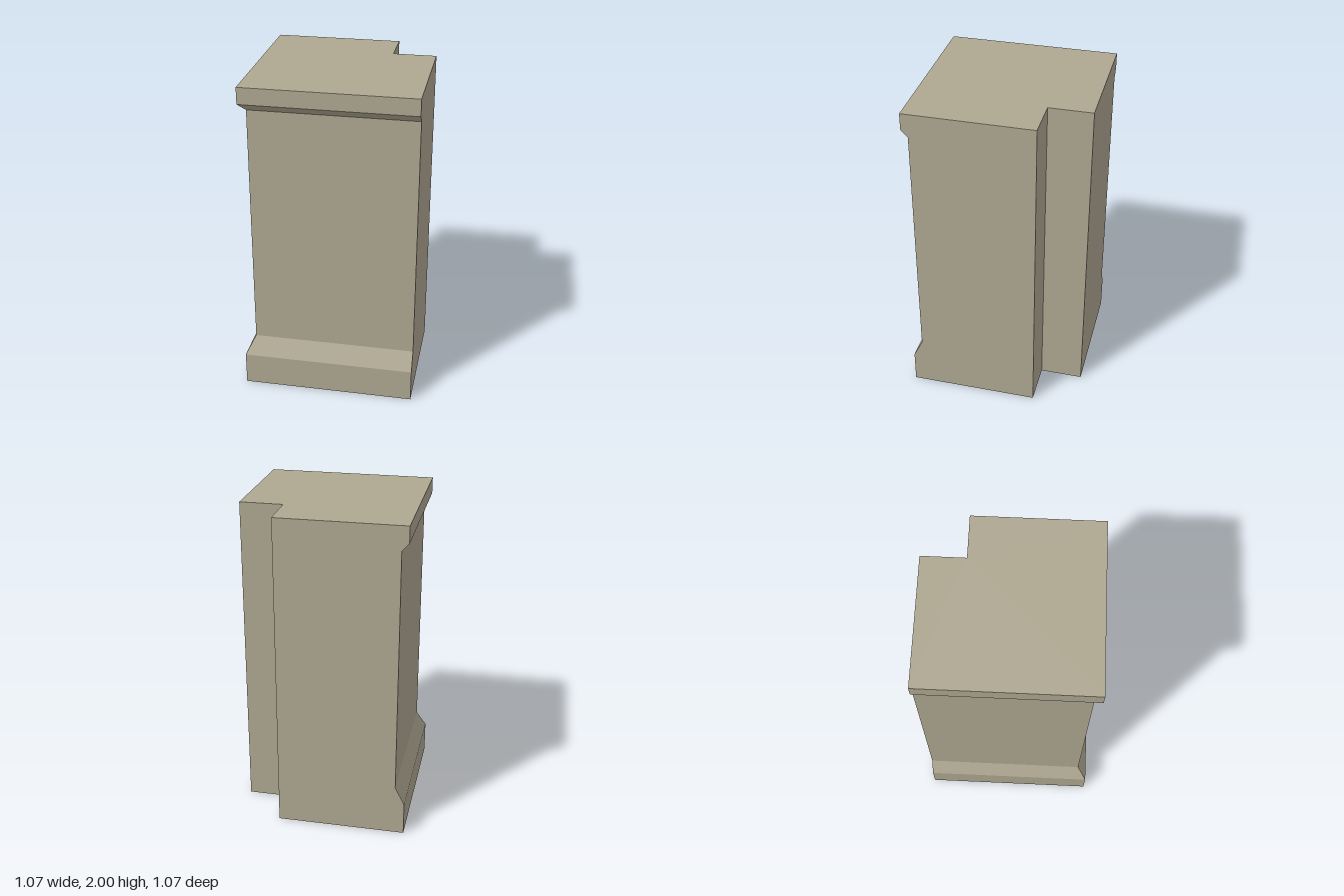
import * as THREE from 'three';

const EDGE = 0.533;   // flush sides at +x and -z
const NOTCH = 0.267;  // inner corner of the square notch

// L-shaped outline at height y; w is the reach of the moulded front and side
function outline([w, y]) {
  return [[-w, w], [EDGE, w], [EDGE, -NOTCH], [NOTCH, -NOTCH], [NOTCH, -EDGE], [-w, -EDGE]]
    .map(([x, z]) => [x, y, z]);
}

// Joins the outlines of a [reach, height] profile, closing the ends on request
function loft(profile, closeBottom, closeTop) {
  const rings = profile.map(outline);
  const pos = [];
  const tri = (...points) => points.forEach((p) => pos.push(...p));
  for (let r = 0; r < rings.length - 1; r++) {
    const low = rings[r], high = rings[r + 1];
    for (let i = 0; i < low.length; i++) {
      const j = (i + 1) % low.length;
      tri(low[i], low[j], high[j]);
      tri(low[i], high[j], high[i]);
    }
  }
  // Caps fan out from the inner notch corner
  for (const [a, b] of [[4, 5], [5, 0], [0, 1], [1, 2]]) {
    const top = rings[rings.length - 1], bottom = rings[0];
    if (closeTop) tri(top[3], top[a], top[b]);
    if (closeBottom) tri(bottom[3], bottom[b], bottom[a]);
  }
  const geometry = new THREE.BufferGeometry();
  geometry.setAttribute('position', new THREE.Float32BufferAttribute(pos, 3));
  geometry.computeVertexNormals();
  return geometry;
}

export function createModel() {
  const group = new THREE.Group();
  group.name = 'cornerPillar';
  const stone = new THREE.MeshStandardMaterial({ color: 0xaea791 });
  stone.name = 'stone';

  const add = (name, geometry) => {
    const mesh = new THREE.Mesh(geometry, stone);
    mesh.name = name;
    group.add(mesh);
  };

  // Plinth with sloped shoulder, plain shaft, and cap with a bevelled underside
  add('plinth', loft([[0.533, 0], [0.533, 0.205], [0.475, 0.323]], true, false));
  add('shaft', loft([[0.475, 0.323], [0.475, 1.853]], false, false));
  add('cap', loft([[0.475, 1.853], [0.517, 1.898], [0.517, 2]], false, true));

  return group;
}
